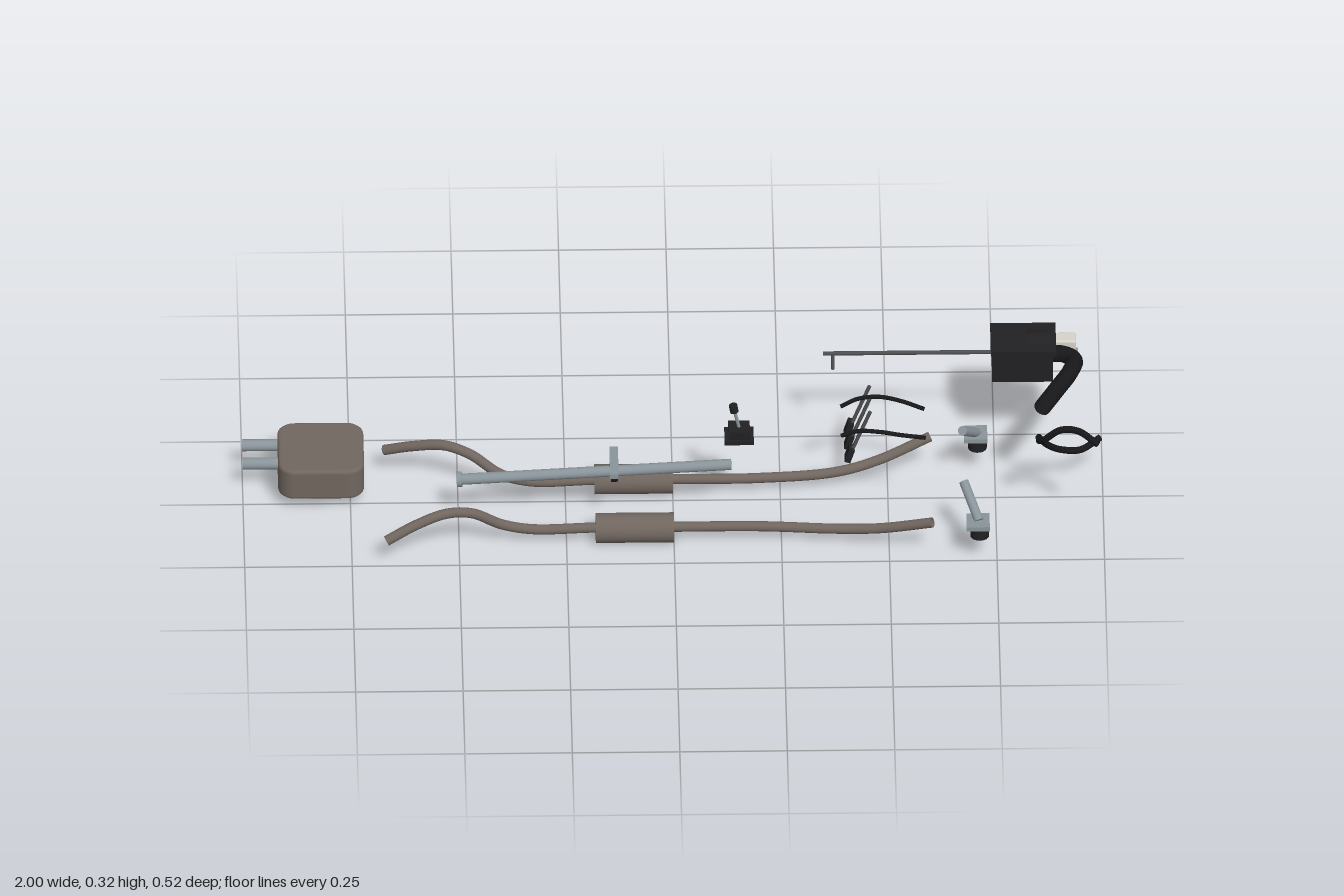
import * as THREE from 'three';
import { RoundedBoxGeometry } from 'three/addons/geometries/RoundedBoxGeometry.js';

const mat = (name, color, side = THREE.FrontSide) => {
  const m = new THREE.MeshStandardMaterial({ color, side });
  m.name = name;
  return m;
};

export function createModel() {
  const root = new THREE.Group();
  root.name = 'carUnderbodyParts';
  const exhaust = mat('exhaust brown grey', 0x70665f, THREE.DoubleSide);
  const steel = mat('steel grey', 0x89949a);
  const black = mat('plastic black', 0x212123);
  const rubber = mat('rubber black', 0x18181a, THREE.DoubleSide);
  const iron = mat('dark iron', 0x4c4e50);
  const cream = mat('cream', 0xd6d3c8);

  const V = (p) => new THREE.Vector3(...p);
  const add = (name, geo, m, pos = [0, 0, 0]) => {
    const mesh = new THREE.Mesh(geo, m);
    mesh.name = name;
    mesh.position.set(...pos);
    root.add(mesh);
    return mesh;
  };
  const box = (name, m, size, pos) => add(name, new THREE.BoxGeometry(...size), m, pos);
  // Cylinder between two points
  const rod = (name, m, a, b, r, seg = 20) => {
    const A = V(a), B = V(b), d = B.clone().sub(A);
    const mesh = add(name, new THREE.CylinderGeometry(r, r, d.length(), seg), m);
    mesh.position.copy(A).add(B).multiplyScalar(0.5);
    mesh.quaternion.setFromUnitVectors(new THREE.Vector3(0, 1, 0), d.normalize());
    return mesh;
  };
  const tube = (name, m, pts, r, seg = 64) =>
    add(name, new THREE.TubeGeometry(new THREE.CatmullRomCurve3(pts.map(V)), seg, r, 14), m);

  // Rear muffler with rounded corners in plan
  const s = new THREE.Shape();
  const h = 0.092, c = 0.032;
  s.absarc(h - c, h - c, c, 0, Math.PI / 2);
  s.absarc(c - h, h - c, c, Math.PI / 2, Math.PI);
  s.absarc(c - h, c - h, c, Math.PI, Math.PI * 1.5);
  s.absarc(h - c, c - h, c, Math.PI * 1.5, Math.PI * 2);
  const mufflerGeo = new THREE.ExtrudeGeometry(s, {
    depth: 0.064, bevelThickness: 0.008, bevelSize: 0.008, bevelSegments: 3, curveSegments: 8,
  });
  mufflerGeo.rotateX(-Math.PI / 2);
  add('muffler', mufflerGeo, exhaust, [-0.818, 0.038, -0.077]);
  for (const z of [-0.14, -0.067])
    rod('tailpipe', steel, [-1, 0.071, z], [-0.9, 0.071, z], 0.014);

  // Two exhaust lines, mirrored about the shaft axis; front struts share the axis
  const axis = 0.058;
  for (const k of [1, -1]) {
    const pts = [
      [-0.67, 0.066, 0.181], [-0.6, 0.094, 0.157], [-0.53, 0.11, 0.136], [-0.47, 0.097, 0.117],
      [-0.4, 0.052, 0.1], [-0.33, 0.034, 0.095], [-0.18, 0.037, 0.095], [0, 0.037, 0.095],
      [0.2, 0.037, 0.096], [0.38, 0.04, 0.113], [0.48, 0.057, 0.136], [0.6, 0.097, 0.171],
    ].map(([x, y, d]) => [x, y, axis + k * d]);
    tube('exhaustPipe', exhaust, pts, 0.012, 120);
    rod('resonator', exhaust, [-0.182, 0.037, axis + k * 0.097], [0, 0.037, axis + k * 0.097], 0.035, 32);

    const z = axis + k * 0.175;
    box('strutPlate', steel, [0.054, 0.012, 0.056], [0.706, 0.099, z]);
    rod('strutMount', black, [0.71, 0.062, z], [0.71, 0.094, z], 0.022, 24);
    rod('strutRod', steel, [0.708, 0.104, z], [0.674, 0.163, axis + k * 0.101], 0.011);

    // Slim arched cable
    tube('cable', rubber, [
      [0.39, 0.267, 0.058], [0.43, 0.284, 0.064], [0.48, 0.285, 0.07],
      [0.53, 0.274, 0.068], [0.585, 0.258, 0.057],
    ].map(([x, y, d]) => [x, y, axis + k * d]), 0.005, 40);
  }

  // Drive shaft with centre bearing
  rod('driveShaft', steel, [-0.5, 0.11, axis], [0.135, 0.146, axis], 0.013);
  rod('shaftFlange', steel, [-0.504, 0.11, axis], [-0.492, 0.111, axis], 0.018);
  rod('bearingRing', black, [-0.146, 0.129, axis], [-0.13, 0.13, axis], 0.025, 28);
  box('bearingBracket', steel, [0.02, 0.012, 0.112], [-0.138, 0.154, axis]);

  // Gear shifter
  box('shifterBase', black, [0.068, 0.011, 0.058], [0.153, 0.221, 0.05]);
  box('shifterBoot', black, [0.05, 0.022, 0.048], [0.153, 0.237, 0.05]);
  rod('shifterLever', steel, [0.153, 0.246, 0.05], [0.142, 0.295, 0.05], 0.004, 12);
  rod('shifterKnob', black, [0.142, 0.291, 0.05], [0.139, 0.31, 0.05], 0.01, 16);

  // Three pedals
  for (const z of [-0.076, -0.128, -0.178]) {
    rod('pedalArm', iron, [0.415, 0.08, z], [0.46, 0.196, z], 0.0045, 12);
    const pad = box('pedalPad', black, [0.014, 0.036, 0.028], [0.412, 0.078, z]);
    pad.rotation.z = -0.3;
  }

  // Heater and air box
  box('airBox', black, [0.142, 0.078, 0.108], [0.816, 0.264, -0.203]);
  box('airBoxLid', black, [0.152, 0.012, 0.116], [0.818, 0.307, -0.204]);
  rod('airBoxDrum', black, [0.83, 0.268, -0.207], [0.884, 0.268, -0.207], 0.053, 36);
  add('reservoir', new RoundedBoxGeometry(0.05, 0.034, 0.038, 3, 0.005), cream, [0.916, 0.295, -0.207]);
  rod('boxSpigot', steel, [0.885, 0.268, -0.207], [0.945, 0.268, -0.207], 0.01, 16);
  rod('controlRod', iron, [0.352, 0.268, -0.21], [0.75, 0.268, -0.21], 0.005, 12);
  rod('controlRodArm', iron, [0.375, 0.268, -0.208], [0.375, 0.23, -0.2], 0.004, 12);

  // Air intake hose and two slim hoses
  tube('intakeHose', rubber, [
    [0.87, 0.287, -0.175], [0.91, 0.289, -0.17], [0.935, 0.29, -0.145],
    [0.925, 0.295, -0.09], [0.895, 0.299, -0.02], [0.858, 0.303, 0.062],
  ], 0.02);
  tube('upperHose', rubber, [
    [0.85, 0.241, 0.107], [0.862, 0.266, 0.138], [0.9, 0.303, 0.152],
    [0.94, 0.311, 0.168], [0.985, 0.298, 0.203],
  ], 0.008);
  tube('lowerHose', rubber, [
    [0.85, 0.187, 0.018], [0.872, 0.147, -0.006], [0.905, 0.112, -0.035],
    [0.95, 0.094, -0.06], [0.995, 0.106, -0.09],
  ], 0.008);

  return root;
}
